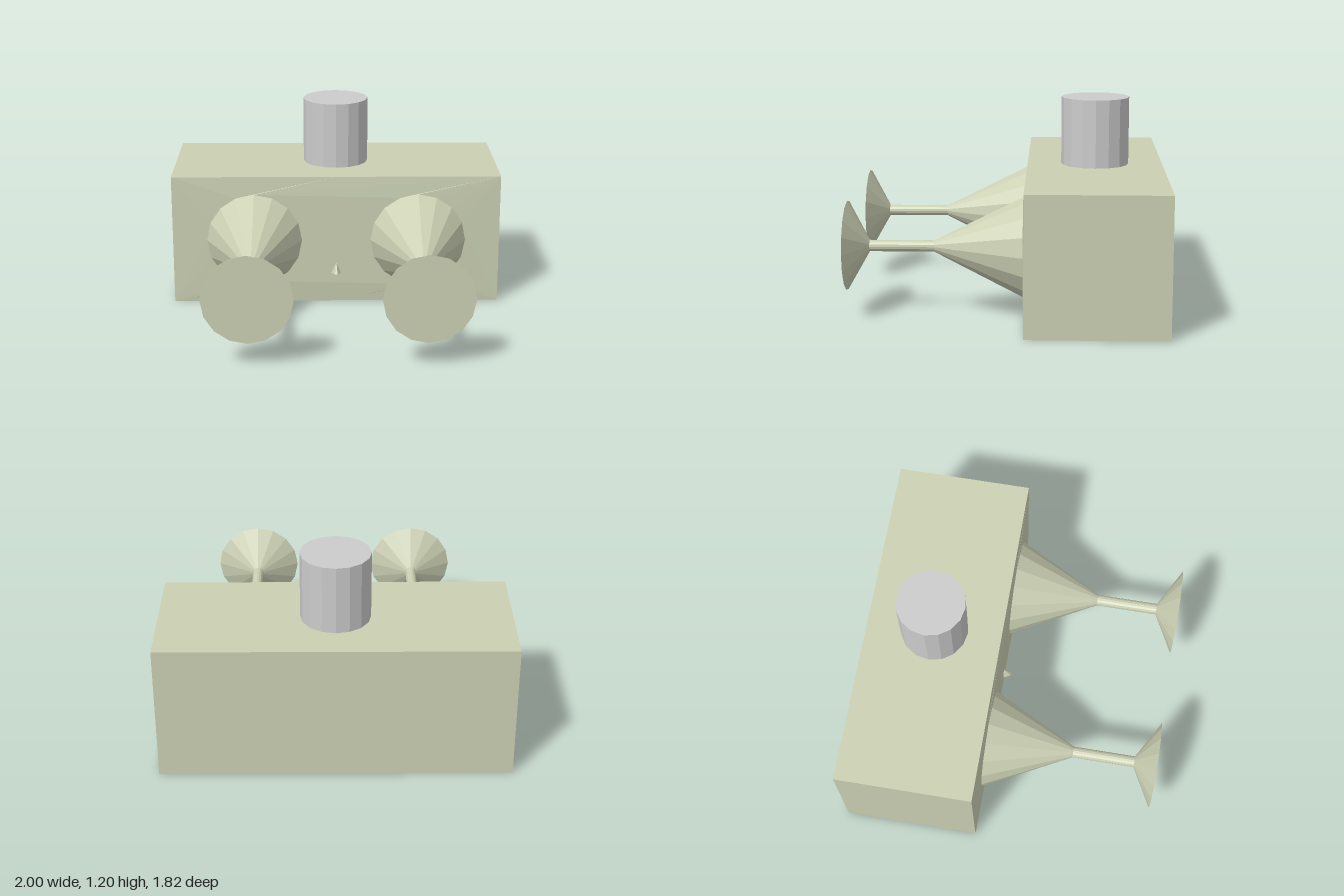
import * as THREE from 'three';
import { ConvexGeometry } from 'three/addons/geometries/ConvexGeometry.js';

const BACK = -0.91, FRONT = -0.11, RIM = -0.1; // z of the back, front edge and cone rims
const EYE_X = 0.5, EYE_Y = 0.4, EYE_R = 0.29, SIDES = 16;

export function createModel() {
  const model = new THREE.Group();
  const olive = new THREE.MeshStandardMaterial({ color: 0xcbd0b3, flatShading: true });
  const grey = new THREE.MeshStandardMaterial({ color: 0xcccccc, flatShading: true });
  const add = (name, geometry, material) => {
    const mesh = new THREE.Mesh(geometry, material);
    mesh.name = name;
    model.add(mesh);
    return mesh;
  };

  // Box body, open where the front panel sits
  const box = new THREE.BoxGeometry(2, 0.8, FRONT - BACK);
  const index = Array.from(box.index.array);
  index.splice(24, 6);
  box.setIndex(index);
  box.clearGroups();
  box.translate(0, 0.4, (FRONT + BACK) / 2);
  add('body', box, olive);

  // Front panel, pulled slightly forward around the cone rims
  const outline = [[-1, 0], [0, 0], [1, 0], [1, 0.8], [0, 0.8], [-1, 0.8]];
  const shape = new THREE.Shape(outline.map(([x, y]) => new THREE.Vector2(x, y)));
  for (const side of [-1, 1]) {
    const rim = [];
    for (let i = 0; i < SIDES; i++) {
      const a = (-i / SIDES) * Math.PI * 2;
      rim.push(new THREE.Vector2(side * EYE_X + EYE_R * Math.cos(a), EYE_Y + EYE_R * Math.sin(a)));
    }
    shape.holes.push(new THREE.Path(rim));
  }
  const panel = new THREE.ShapeGeometry(shape);
  const pos = panel.attributes.position;
  for (let i = 0; i < pos.count; i++) {
    const onEdge = Math.abs(pos.getX(i)) > 0.99 || pos.getY(i) < 0.01 || pos.getY(i) > 0.79;
    pos.setZ(i, onEdge ? FRONT : RIM);
  }
  add('frontPanel', panel, olive);

  // Two cones narrowing to a stem and flaring into a disc
  const profile = [[EYE_R, RIM], [0.033, 0.41], [0.033, 0.78], [0.257, 0.907], [0, 0.907]];
  const stalk = new THREE.LatheGeometry(profile.map(([r, z]) => new THREE.Vector2(r, z)), SIDES);
  stalk.rotateX(Math.PI / 2);
  for (const [name, side] of [['leftStalk', 1], ['rightStalk', -1]]) {
    add(name, stalk, olive).position.set(side * EYE_X, EYE_Y, 0);
  }

  // Small wedge nose
  const nose = [[0, 0.265, FRONT], [-0.035, 0.185, FRONT], [0.035, 0.185, FRONT],
    [-0.008, 0.19, -0.055], [0.008, 0.19, -0.055]];
  add('nose', new ConvexGeometry(nose.map((p) => new THREE.Vector3(...p))), olive);

  // Upright cylinder on the roof
  const chimney = new THREE.CylinderGeometry(0.2, 0.2, 0.4, SIDES);
  add('chimney', chimney, grey).position.set(0, 1, (FRONT + BACK) / 2);

  return model;
}
